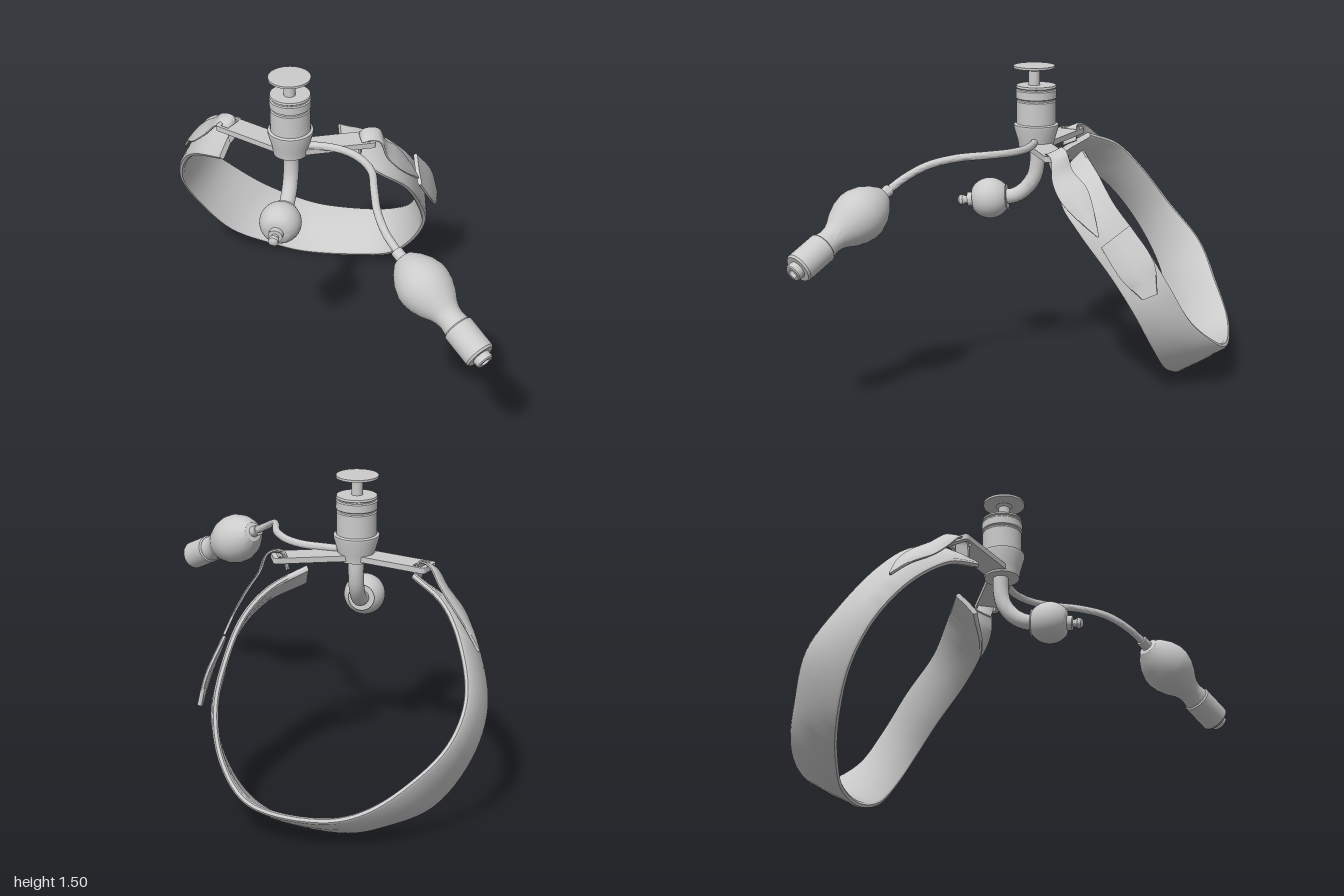
import * as THREE from 'three';
import { toCreasedNormals } from 'three/addons/utils/BufferGeometryUtils.js';

const V = (x, y, z) => new THREE.Vector3(x, y, z);
const CX = -0.22, CZ = -0.02;

export function createModel() {
  const model = new THREE.Group();
  const mat = new THREE.MeshStandardMaterial({ color: 0xcccccc });

  const add = (name, geo, crease = 0.6) => {
    const mesh = new THREE.Mesh(toCreasedNormals(geo, crease), mat);
    mesh.name = name;
    model.add(mesh);
    return mesh;
  };

  // Turned part: [radius, height] profile, standing at an origin along an axis
  const turned = (name, profile, origin, axis = V(0, 1, 0), sides = 40) => {
    const pts = profile.map(([r, h]) => new THREE.Vector2(r, h));
    const mesh = add(name, new THREE.LatheGeometry(pts, sides));
    mesh.position.copy(origin);
    mesh.quaternion.setFromUnitVectors(V(0, 1, 0), axis.clone().normalize());
  };

  const tube = (name, pts, radius, segs) =>
    add(name, new THREE.TubeGeometry(new THREE.CatmullRomCurve3(pts), segs, radius, 16), 1);

  // Solid strap lofted between two edge curves, with rounded edges
  const strap = (name, edgeA, edgeB, thick, segs) => {
    const a = new THREE.CatmullRomCurve3(edgeA), b = new THREE.CatmullRomCurve3(edgeB);
    const A = [], B = [], M = [];
    for (let i = 0; i <= segs; i++) {
      A.push(a.getPoint(i / segs));
      B.push(b.getPoint(i / segs));
      M.push(A[i].clone().lerp(B[i], 0.5));
    }
    const pos = [], idx = [];
    const section = [[0, 0.25], [0.04, 0], [0.5, -0.12], [0.96, 0], [1, 0.25],
      [1, 0.75], [0.96, 1], [0.5, 0.88], [0.04, 1], [0, 0.75]];
    const n = section.length;
    for (let i = 0; i <= segs; i++) {
      const t = M[Math.min(i + 1, segs)].clone().sub(M[Math.max(i - 1, 0)]);
      const w = B[i].clone().sub(A[i]);
      const out = t.cross(w).normalize();
      for (const [u, v] of section) {
        const p = A[i].clone().addScaledVector(w, u).addScaledVector(out, v * thick);
        pos.push(p.x, p.y, p.z);
      }
    }
    for (let i = 0; i < segs; i++) for (let j = 0; j < n; j++) {
      const p = i * n + j, q = i * n + (j + 1) % n;
      idx.push(p, q, p + n, q, q + n, p + n);
    }
    const e = segs * n;
    for (let j = 1; j < n - 1; j++) idx.push(0, j + 1, j, e, e + j, e + j + 1);
    const geo = new THREE.BufferGeometry();
    geo.setAttribute('position', new THREE.Float32BufferAttribute(pos, 3));
    geo.setIndex(idx);
    return add(name, geo, 0.8);
  };

  // Neck band: lower edge and upper edge running from the right end round to the left end
  const lower = [V(-0.59, 0.99, -0.06), V(-0.75, 0.93, -0.17), V(-0.87, 0.78, -0.33),
    V(-0.93, 0.57, -0.48), V(-0.88, 0.36, -0.6), V(-0.72, 0.14, -0.69), V(-0.5, 0.04, -0.74),
    V(-0.33, 0, -0.76), V(0, 0.03, -0.75), V(0.17, 0.1, -0.7), V(0.3, 0.25, -0.64),
    V(0.37, 0.43, -0.56), V(0.36, 0.6, -0.45), V(0.31, 0.8, -0.29), V(0.2, 0.92, -0.19),
    V(0, 1.03, -0.18)];
  const upper = [V(-0.54, 1.12, -0.25), V(-0.7, 1.04, -0.38), V(-0.8, 0.9, -0.5),
    V(-0.86, 0.68, -0.66), V(-0.8, 0.5, -0.82), V(-0.62, 0.32, -0.92), V(-0.45, 0.21, -0.98),
    V(-0.28, 0.16, -1), V(0, 0.17, -0.99), V(0.14, 0.22, -0.95), V(0.27, 0.36, -0.83),
    V(0.32, 0.56, -0.72), V(0.3, 0.75, -0.6), V(0.24, 0.93, -0.45), V(0.13, 1.05, -0.36),
    V(-0.03, 1.13, -0.27)];
  strap('neckBand', lower, upper, 0.03, 90);

  // Overlapping flap on the left of the band
  strap('bandFlap',
    [V(0.345, 0.74, -0.4), V(0.385, 0.6, -0.5), V(0.395, 0.51, -0.6)],
    [V(0.295, 0.84, -0.53), V(0.355, 0.68, -0.65), V(0.385, 0.54, -0.67)], 0.02, 12);

  // Pointed tabs: up through the flange slot, over its end and down the band
  const tab = (name, centres, across) => {
    const half = [0.04, 0.04, 0.042, 0.055, 0.07, 0.04, 0.004];
    const dir = across.normalize();
    const edge = s => centres.map((c, i) => c.clone().addScaledVector(dir, s * half[i]));
    strap(name, edge(-1), edge(1), 0.012, 36);
  };
  tab('rightTab', [V(-0.53, 1.06, -0.15), V(-0.557, 1.14, -0.153), V(-0.615, 1.135, -0.18),
    V(-0.68, 1.06, -0.24), V(-0.755, 0.985, -0.3), V(-0.82, 0.91, -0.37),
    V(-0.875, 0.82, -0.42)], V(0.3, 0.4, -0.85));
  tab('leftTab', [V(0.09, 1.06, -0.17), V(0.117, 1.14, -0.153), V(0.175, 1.135, -0.18),
    V(0.21, 1.05, -0.2), V(0.26, 0.97, -0.26), V(0.31, 0.87, -0.33),
    V(0.34, 0.79, -0.385)], V(-0.3, 0.4, -0.85));

  // Flange: two slotted arms swept back from a central disc
  for (const side of [1, -1]) {
    const s = new THREE.Shape();
    s.moveTo(0, -0.06);
    s.lineTo(0.39, -0.06);
    s.quadraticCurveTo(0.41, -0.06, 0.41, -0.04);
    s.lineTo(0.41, 0.04);
    s.quadraticCurveTo(0.41, 0.06, 0.39, 0.06);
    s.lineTo(0, 0.06);
    const slot = new THREE.Path();
    slot.moveTo(0.34, -0.045);
    slot.lineTo(0.34, 0.045);
    slot.lineTo(0.385, 0.045);
    slot.lineTo(0.385, -0.045);
    s.holes.push(slot);
    const geo = new THREE.ExtrudeGeometry(s, { depth: 0.028, bevelEnabled: false });
    geo.rotateX(-Math.PI / 2);
    geo.rotateZ(0.02);
    geo.rotateY(side > 0 ? 0.378 : Math.PI - 0.378);
    add(side > 0 ? 'leftFlangeArm' : 'rightFlangeArm', geo).position.set(CX, 1.098, CZ);
  }

  // Upright connector with plunger
  turned('connector', [[0, 1.09], [0.085, 1.09], [0.09, 1.13], [0.11, 1.2], [0.11, 1.215],
    [0.097, 1.22], [0.097, 1.33], [0.092, 1.335], [0.092, 1.342], [0.1, 1.347], [0.1, 1.385],
    [0.094, 1.39], [0.094, 1.396], [0.1, 1.4], [0.097, 1.41], [0, 1.41]], V(CX, 0, CZ));
  turned('plunger', [[0.028, 1.4], [0.028, 1.48], [0.04, 1.49], [0.102, 1.495],
    [0.102, 1.506], [0, 1.508]], V(CX, 0, CZ + 0.01));

  // Curved tube with the cuff at its end
  tube('curvedTube', [V(CX, 1.11, -0.025), V(CX, 1.02, -0.025), V(CX, 0.95, -0.01),
    V(CX, 0.885, 0.035), V(CX, 0.85, 0.09), V(CX, 0.84, 0.16)], 0.038, 28);
  const ball = [[0, 0], [0.065, 0]];
  for (let i = 0; i <= 14; i++) {
    const a = -0.95 + 1.9 * i / 14;
    ball.push([0.102 * Math.cos(a), 0.088 + 0.102 * Math.sin(a)]);
  }
  ball.push([0.035, 0.175], [0.035, 0.2], [0.018, 0.202], [0.018, 0.212], [0.026, 0.225],
    [0.024, 0.242], [0.012, 0.251], [0, 0.252]);
  turned('cuff', ball, V(CX, 0.842, 0.125), V(0, -0.1, 1));

  // Inflation line and pilot balloon with valve
  tube('inflationLine', [V(-0.16, 1.135, -0.02), V(-0.05, 1.14, -0.02), V(0.05, 1.14, 0.0),
    V(0.14, 1.14, 0.06), V(0.21, 1.14, 0.16), V(0.25, 1.13, 0.3), V(0.29, 1.1, 0.43),
    V(0.35, 1.05, 0.53), V(0.43, 0.995, 0.605)], 0.019, 60);
  const axis = V(0.48, -0.3, 0.36), start = V(0.41, 1.005, 0.592);
  turned('pilotBalloon', [[0, 0], [0.028, 0], [0.028, 0.045], [0.05, 0.05], [0.082, 0.085],
    [0.11, 0.13], [0.126, 0.18], [0.128, 0.215], [0.12, 0.26], [0.1, 0.31], [0.076, 0.35],
    [0.064, 0.38], [0.06, 0.41], [0.064, 0.44], [0.066, 0.47]], start, axis);
  turned('valve', [[0, 0.45], [0.066, 0.45], [0.073, 0.457], [0.073, 0.61], [0.066, 0.62],
    [0.042, 0.62], [0.042, 0.65], [0.036, 0.655], [0.022, 0.655], [0.022, 0.635], [0, 0.635]],
    start, axis);

  return model;
}
